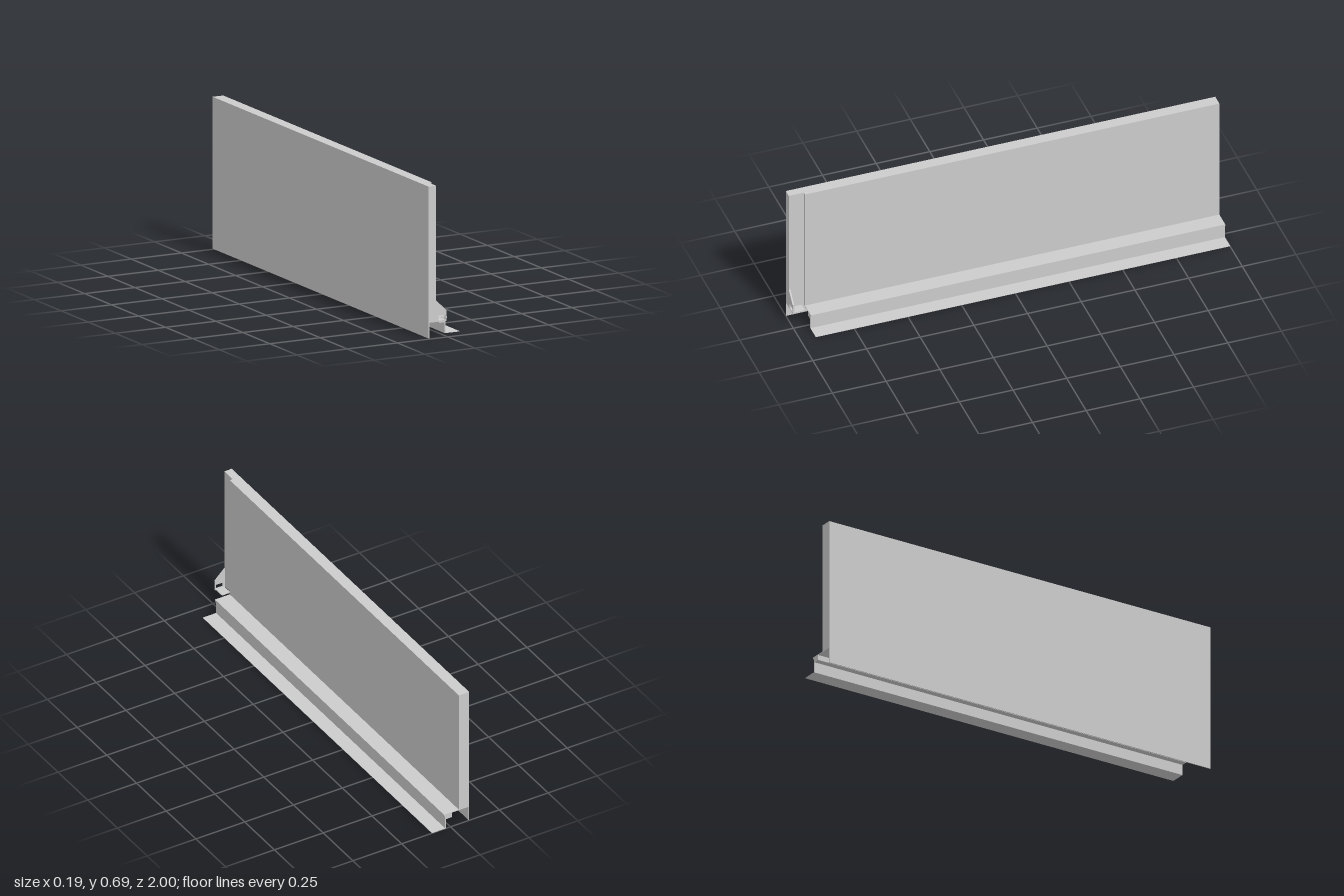
import * as THREE from 'three';

const material = new THREE.MeshStandardMaterial({ color: 0xcccccc, flatShading: true, side: THREE.DoubleSide });

// Extrude an x-y cross-section along z, from z0 to z1
function extrusion(name, points, z0, z1, hole) {
  const shape = new THREE.Shape(points.map(([x, y]) => new THREE.Vector2(x, y)));
  if (hole) shape.holes.push(new THREE.Path(hole.map(([x, y]) => new THREE.Vector2(x, y))));
  const geometry = new THREE.ExtrudeGeometry(shape, { depth: z1 - z0, bevelEnabled: false });
  geometry.translate(0, 0, z0);
  const mesh = new THREE.Mesh(geometry, material);
  mesh.name = name;
  return mesh;
}

const rect = (x0, x1, y0, y1) => [[x0, y0], [x1, y0], [x1, y1], [x0, y1]];

export function createModel() {
  const group = new THREE.Group();
  group.name = 'wallPanelWithSill';
  const end = 0.93; // where the full-thickness panel and the sill stop

  // Panel: full thickness, then a thinner rebated tongue at the front end
  group.add(extrusion('panel', rect(-0.092, -0.043, 0.073, 0.685), -1, end));
  group.add(extrusion('panelTongue', rect(-0.092, -0.058, 0.073, 0.685), end, 1));

  // Thin outer skin hanging below the panel
  group.add(extrusion('outerSkin', rect(-0.096, -0.092, 0.003, 0.685), -1, 1));

  // Stepped sill: shelf with a front lip, block, riser and foot flange
  group.add(extrusion('sill', [
    [-0.058, 0.073], [-0.007, 0.073], [-0.007, 0.049], [0.022, 0.049],
    [0.022, 0], [0.095, 0], [0.095, 0.002], [0.027, 0.002],
    [0.027, 0.068], [0.033, 0.068], [0.033, 0.076], [-0.058, 0.076],
  ], -1, end));

  // End bracket: sloped gusset plate with a slot, on a small base tab
  const bracket = new THREE.Group();
  bracket.name = 'endBracket';
  bracket.add(extrusion('gussetPlate', [
    [-0.06, 0.073], [-0.007, 0.073], [-0.007, 0.121], [-0.058, 0.17], [-0.06, 0.17],
  ], 0.993, 1, [[-0.046, 0.078], [-0.046, 0.1], [-0.012, 0.1], [-0.012, 0.078]]));
  bracket.add(extrusion('baseTab', rect(-0.053, -0.01, 0.073, 0.077), 0.942, 0.993));
  group.add(bracket);

  return group;
}
